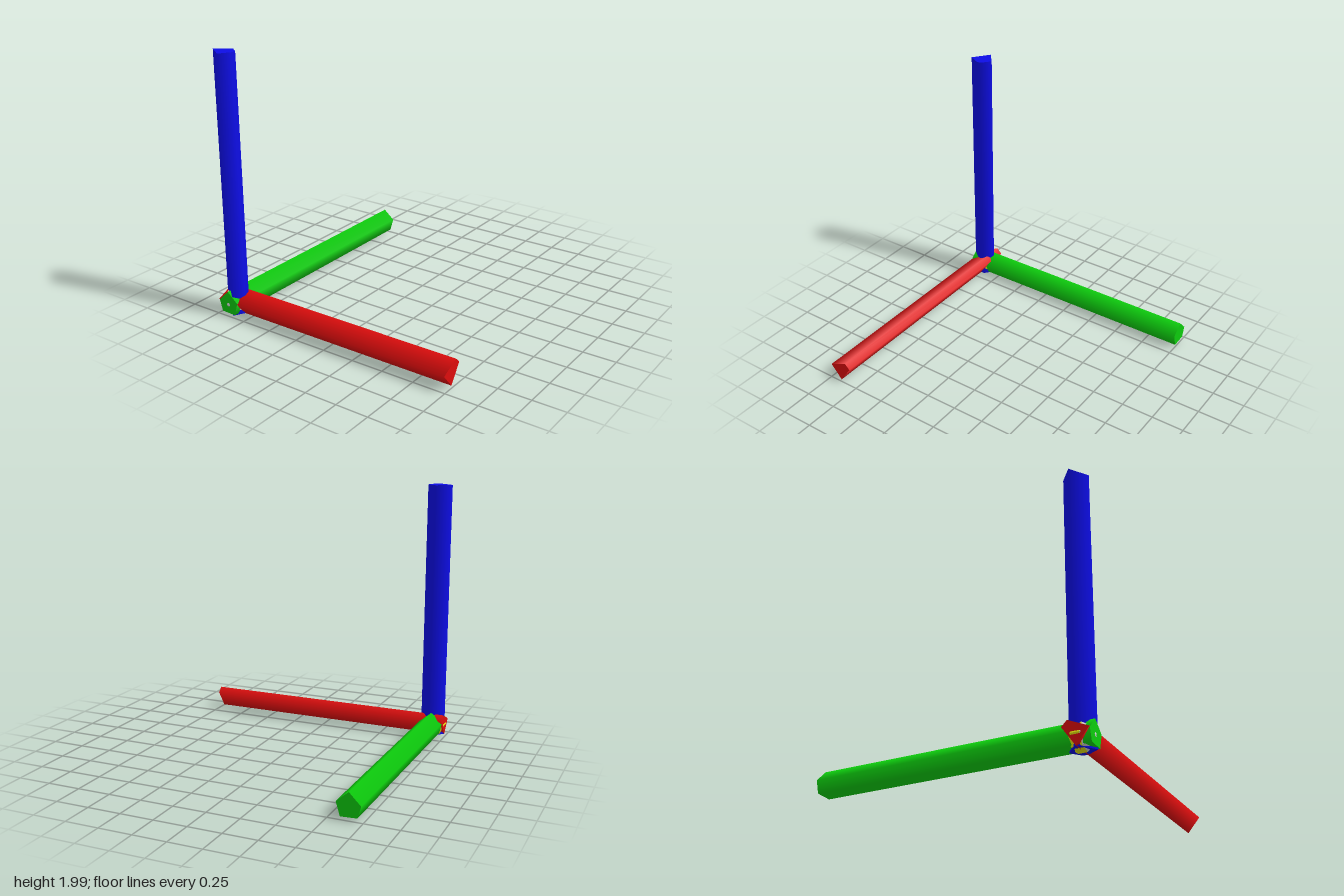
import * as THREE from 'three';

// Bar along +y with a slightly uneven polygon section and smooth sides.
// section: [x, z] corners around the bar's own axis
function makeBar(name, section, from, to, color) {
  const corners = section.slice().sort((a, b) => Math.atan2(a[0], a[1]) - Math.atan2(b[0], b[1]));
  const n = corners.length;
  const geo = new THREE.CylinderGeometry(1, 1, to - from, n);
  geo.translate(0, (from + to) / 2, 0);
  const pos = geo.attributes.position, nor = geo.attributes.normal;
  for (let i = 0; i < pos.count; i++) {
    const x = pos.getX(i), z = pos.getZ(i);
    if (Math.hypot(x, z) < 0.5) continue;
    const k = (Math.round(Math.atan2(x, z) / (2 * Math.PI / n)) + n) % n;
    const [cx, cz] = corners[k];
    pos.setX(i, cx);
    pos.setZ(i, cz);
    if (Math.abs(nor.getY(i)) < 0.5) {
      const len = Math.hypot(cx, cz);
      nor.setXYZ(i, cx / len, 0, cz / len);
    }
  }
  const mesh = new THREE.Mesh(geo, new THREE.MeshStandardMaterial({ color }));
  mesh.name = name;
  return mesh;
}

// Faceted band of the hub ball, its pole facing +z
function makeHubPart(name, rows, thetaStart, thetaLength, color) {
  const geo = new THREE.SphereGeometry(0.1, 7, rows, 0, Math.PI * 2, thetaStart, thetaLength);
  geo.rotateX(Math.PI / 2);
  const mesh = new THREE.Mesh(geo, new THREE.MeshStandardMaterial({
    color, flatShading: true, side: THREE.DoubleSide,
  }));
  mesh.name = name;
  return mesh;
}

export function createModel() {
  const model = new THREE.Group();
  model.name = 'axisTripod';

  // everything is placed around the shared corner
  const corner = new THREE.Group();
  corner.name = 'corner';
  corner.position.set(-0.9, 0.1, 0.9);
  model.add(corner);

  // upright bar
  corner.add(makeBar('uprightBar',
    [[-0.09, 0], [0.018, -0.088], [0.092, -0.03], [0.088, 0.01], [0.04, 0.092]],
    -0.08, 1.9, 0x0d0de6));

  // sideways bar: local y turns to +x, local x to -y
  const side = makeBar('sidewaysBar',
    [[-0.025, 0.095], [-0.09, -0.05], [-0.05, -0.09], [0.084, 0.004]],
    -0.09, 1.89, 0xdd0d0d);
  side.rotation.z = -Math.PI / 2;
  corner.add(side);

  // rearward bar: local y turns to -z, local z to +y
  const rear = makeBar('rearwardBar',
    [[-0.085, 0.02], [0, 0.105], [0.09, 0.03], [0.06, -0.07], [-0.06, -0.065]],
    -0.095, 1.9, 0x0dcc0d);
  rear.rotation.x = -Math.PI / 2;
  corner.add(rear);

  // hub ball with a pale front
  corner.add(makeHubPart('hubFront', 2, 0, 1.25, 0xcccccc));
  corner.add(makeHubPart('hubBall', 3, 1.25, Math.PI - 1.25, 0xe6e60d));

  return model;
}
